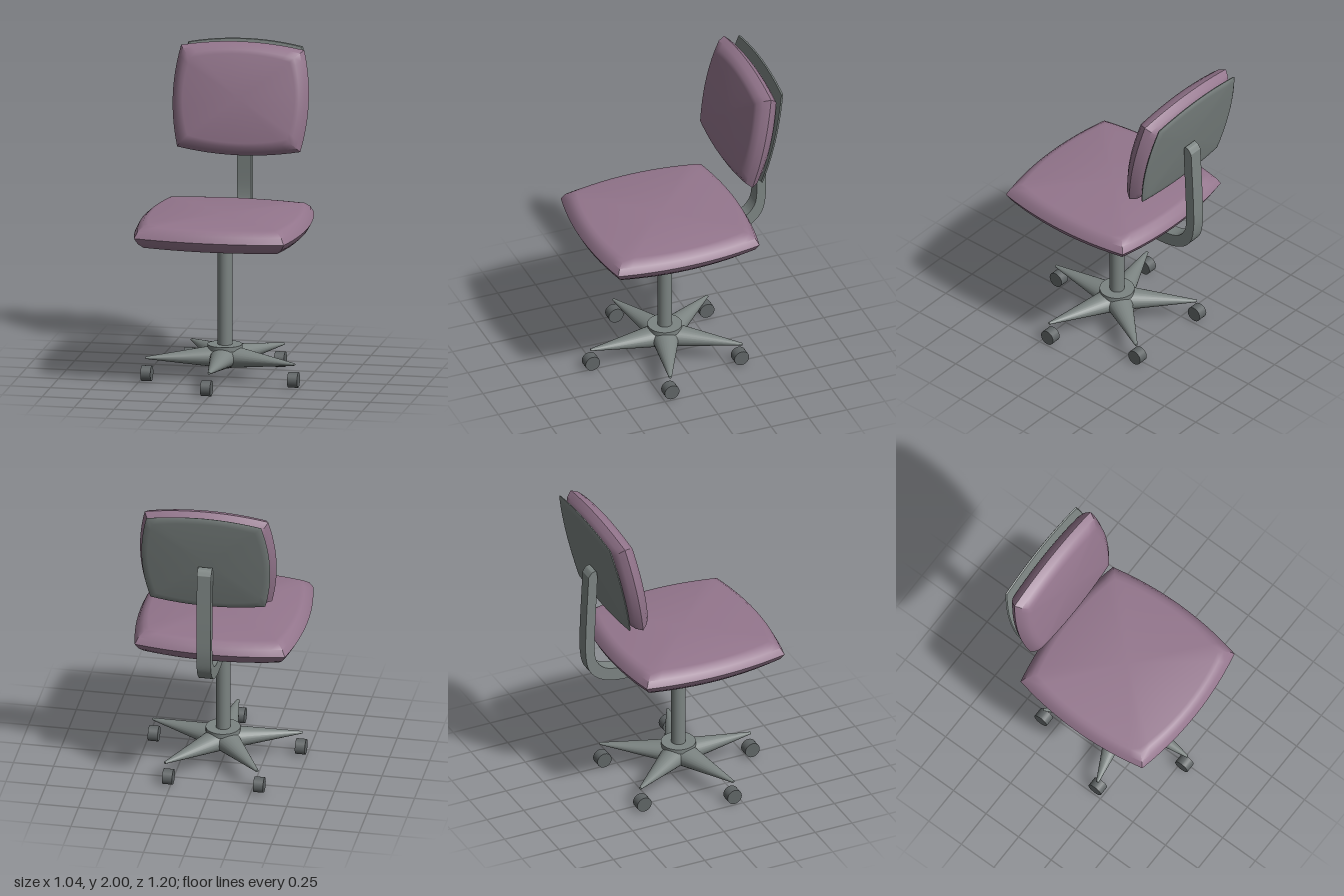
import * as THREE from 'three';
import { toCreasedNormals } from 'three/addons/utils/BufferGeometryUtils.js';

const fabric = new THREE.MeshStandardMaterial({ color: 0x94768d });
const metal = new THREE.MeshStandardMaterial({ color: 0x7c8482 });
const plastic = new THREE.MeshStandardMaterial({ color: 0x606566 });

function part(name, geometry, material, x = 0, y = 0, z = 0) {
  const mesh = new THREE.Mesh(geometry, material);
  mesh.name = name;
  mesh.position.set(x, y, z);
  return mesh;
}

// Four-sided cushion with bowed sides, lying flat.
// hw, hd: half sizes at mid-side; cw, cd: half sizes at the corners.
// profile: [inset, height] pairs from bottom to top.
function cushion(hw, hd, cw, cd, profile, dome = 0) {
  const n = 12, ring = 4 * n, pos = [], idx = [];
  for (const [inset, y] of profile) {
    for (let side = 0; side < 4; side++) {
      for (let i = 0; i < n; i++) {
        const t = -1 + (2 * i) / n, bow = 1 - t * t;
        const mx = cw - inset + (hw - cw) * bow, mz = cd - inset + (hd - cd) * bow;
        const ex = t * (cw - inset), ez = t * (cd - inset);
        const [x, z] = [[ex, mz], [mx, -ez], [-ex, -mz], [-mx, ez]][side];
        pos.push(x, y, z);
      }
    }
  }
  const rows = profile.length;
  for (let r = 0; r < rows - 1; r++) {
    for (let j = 0; j < ring; j++) {
      const a = r * ring + j, b = r * ring + ((j + 1) % ring);
      idx.push(a, b, b + ring, a, b + ring, a + ring);
    }
  }
  // Caps
  const bottom = rows * ring, top = bottom + 1, last = (rows - 1) * ring;
  pos.push(0, profile[0][1], 0, 0, profile[rows - 1][1] + dome, 0);
  for (let j = 0; j < ring; j++) {
    const k = (j + 1) % ring;
    idx.push(bottom, k, j, top, last + j, last + k);
  }
  const g = new THREE.BufferGeometry();
  g.setAttribute('position', new THREE.Float32BufferAttribute(pos, 3));
  g.setIndex(idx);
  return toCreasedNormals(g, 0.7);
}

const softEdge = [
  [0.075, -0.072], [0.05, -0.066], [0.02, -0.038], [0, 0],
  [0.02, 0.04], [0.05, 0.066], [0.075, 0.072],
];

export function createModel() {
  const chair = new THREE.Group();
  chair.name = 'swivelChair';
  const postZ = 0.05;

  // Seat and tilted backrest
  chair.add(part('seat', cushion(0.52, 0.52, 0.468, 0.468, softEdge, 0.005), fabric, 0, 0.972, 0.08));

  const backPad = part('backrestPad', cushion(0.425, 0.349, 0.385, 0.312, softEdge), fabric, 0, 1.653, -0.435);
  backPad.rotation.x = Math.PI / 2 - 0.2;
  chair.add(backPad);

  const plateEdge = [[0.04, -0.01], [0.012, -0.007], [0, 0], [0.005, 0.008]];
  const plate = part('backrestShell', cushion(0.4, 0.351, 0.358, 0.315, plateEdge), metal, 0, 1.654, -0.519);
  plate.rotation.x = Math.PI / 2 - 0.22;
  chair.add(plate);

  // Bent bar joining seat and backrest (outline in side view, x = backwards)
  const outline = [
    [0.58, 1.59], [0.598, 1.22], [0.598, 1.02], [0.565, 0.9], [0.47, 0.825], [0.31, 0.798],
    [0.1, 0.815], [0.062, 0.855], [0.09, 0.895], [0.285, 0.884], [0.443, 0.9], [0.517, 0.96],
    [0.54, 1.06], [0.533, 1.3], [0.522, 1.59], [0.55, 1.622],
  ].map(([x, y]) => new THREE.Vector2(x, y));
  const barShape = new THREE.Shape();
  barShape.moveTo(outline[0].x, outline[0].y);
  barShape.splineThru([...outline.slice(1), outline[0].clone()]);
  let barGeo = new THREE.ExtrudeGeometry(barShape, { depth: 0.088, bevelEnabled: false, curveSegments: 60 });
  barGeo.translate(0, 0, -0.044);
  barGeo.rotateY(Math.PI / 2);
  barGeo = toCreasedNormals(barGeo, 0.7);
  chair.add(part('backrestBar', barGeo, metal));

  // Post and hub
  chair.add(part('post', new THREE.CylinderGeometry(0.045, 0.045, 0.83, 24), metal, 0, 0.49, postZ));
  chair.add(part('hub', new THREE.CylinderGeometry(0.107, 0.107, 0.03, 32), metal, 0, 0.205, postZ));

  // Five tapered legs with casters
  const legGeo = new THREE.CylinderGeometry(0.007, 0.075, 0.49, 24);
  legGeo.translate(0, 0.245, 0);
  legGeo.rotateX(Math.PI / 2);
  legGeo.scale(1.24, 1, 1);
  const casterGeo = new THREE.CylinderGeometry(0.048, 0.048, 0.062, 24);
  casterGeo.rotateZ(Math.PI / 2);
  const casterShift = [-0.018, 0, -0.016, -0.016, 0];
  for (let i = 0; i < 5; i++) {
    const a = (i * 2 * Math.PI) / 5;
    const leg = part('leg', legGeo, metal, 0, 0.145, postZ);
    leg.rotation.y = a;
    chair.add(leg);
    chair.add(part('caster', casterGeo, plastic,
      0.482 * Math.sin(a) + casterShift[i], 0.048, postZ + 0.48 * Math.cos(a)));
  }
  return chair;
}
